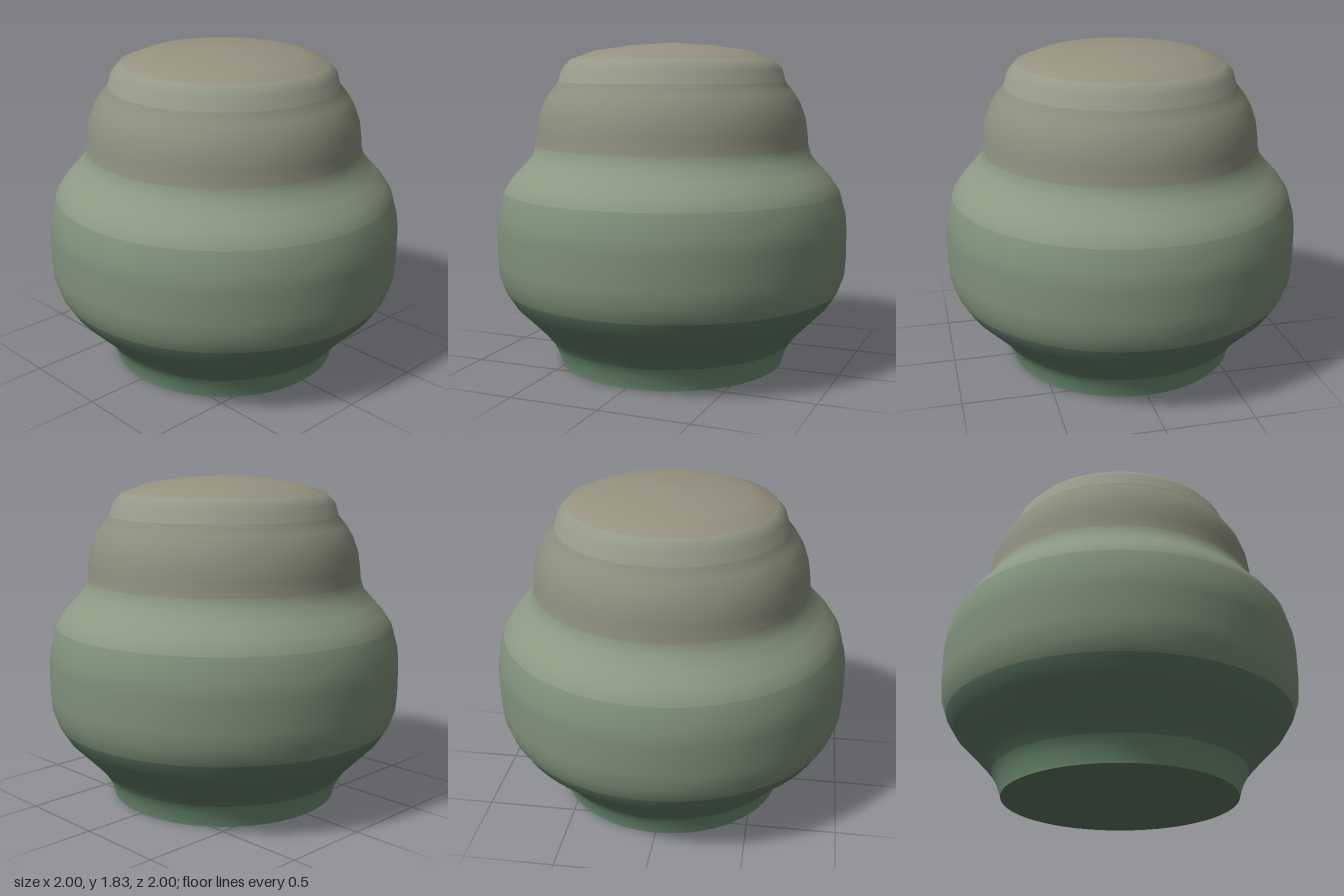
import * as THREE from 'three';

const SEGMENTS = 96;

// Outer profile [radius, height], from the foot up to the crown
const PROFILE = [
  [0.645, 0], [0.65, 0.02], [0.67, 0.08], [0.70, 0.135], [0.752, 0.2], [0.83, 0.28],
  [0.91, 0.36], [0.963, 0.445], [0.993, 0.53], [1, 0.62], [1, 0.79], [0.993, 0.87],
  [0.957, 1.0], [0.91, 1.07], [0.85, 1.135], [0.797, 1.195], [0.777, 1.255], [0.77, 1.33],
  [0.758, 1.41], [0.73, 1.49], [0.69, 1.555], [0.645, 1.61], [0.625, 1.68], [0.575, 1.735],
  [0.44, 1.785], [0.235, 1.815], [0, 1.83],
];

// Glaze bands: name, first and last profile point, colour
const BANDS = [
  ['foot', 0, 3, 0x6f9174],
  ['lowerBody', 3, 7, 0x607a66],
  ['belly', 7, 12, 0x7f9079],
  ['shoulder', 12, 16, 0x8d9a82],
  ['neck', 16, 21, 0x8c8f7d],
  ['lidRim', 21, 23, 0x959987],
  ['lidTop', 23, 26, 0x95927f],
];

const lathe = (pts) =>
  new THREE.LatheGeometry(pts.map(([r, y]) => new THREE.Vector2(r, y)), SEGMENTS);

// Keep only the rows of the lathe between two profile points, so normals stay smooth across bands
function sliceRows(full, from, to) {
  const geometry = full.clone();
  const rows = PROFILE.length;
  const index = [];
  for (let i = 0; i < SEGMENTS; i++) {
    for (let j = from; j < to; j++) {
      const a = i * rows + j, b = a + rows;
      index.push(a, b, a + 1, b + 1, a + 1, b);
    }
  }
  geometry.setIndex(index);
  return geometry;
}

export function createModel() {
  const jar = new THREE.Group();
  jar.name = 'jar';

  const add = (name, geometry, color) => {
    const mesh = new THREE.Mesh(geometry, new THREE.MeshStandardMaterial({ color }));
    mesh.name = name;
    jar.add(mesh);
  };

  // Rounded wall and lid
  const full = lathe(PROFILE);
  for (const [name, from, to, color] of BANDS) add(name, sliceRows(full, from, to), color);

  // Flat underside
  add('underside', lathe([[0, 0], PROFILE[0]]), 0x5f7562);

  return jar;
}
